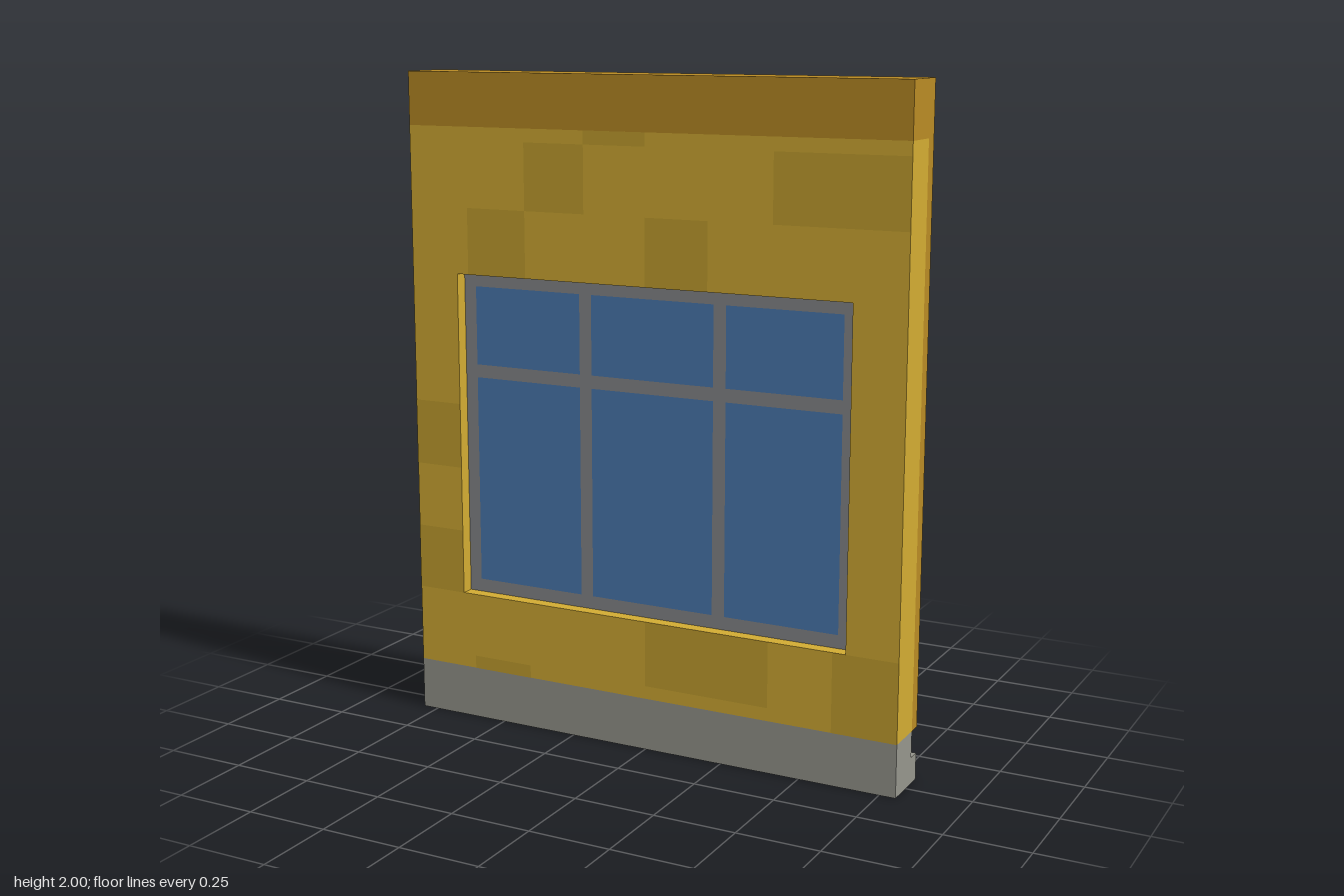
import * as THREE from 'three';

const mat = (color) => new THREE.MeshStandardMaterial({ color });
const OCHRE = mat(0xd2ab33), PATCH = mat(0xc49f2f), BROWN = mat(0xb88a24);
const STONE = mat(0x95958c), FRAME = mat(0x85878a), GLASS = mat(0x4a79b0);

export function createModel() {
  const model = new THREE.Group();

  // Box given by its minimum and maximum corners
  const box = (name, material, [x0, y0, z0], [x1, y1, z1], parent = model) => {
    const mesh = new THREE.Mesh(new THREE.BoxGeometry(x1 - x0, y1 - y0, z1 - z0), material);
    mesh.position.set((x0 + x1) / 2, (y0 + y1) / 2, (z0 + z1) / 2);
    mesh.name = name;
    parent.add(mesh);
    return mesh;
  };
  const rect = (PathType, x, y0, y1) => new PathType(
    [[-x, y0], [x, y0], [x, y1], [-x, y1]].map(([a, b]) => new THREE.Vector2(a, b)));

  // Plastered wall with the window opening
  const wallShape = rect(THREE.Shape, 0.8, 0.16, 1.84);
  wallShape.holes.push(rect(THREE.Path, 0.64, 0.4, 1.4));
  const wall = new THREE.Mesh(
    new THREE.ExtrudeGeometry(wallShape, { depth: 0.12, bevelEnabled: false }), OCHRE);
  wall.position.z = -0.04;
  wall.name = 'wall';
  model.add(wall);

  // Slightly darker plaster patches on both faces: x0, y0, x1, y1
  const patches = [
    [-0.4, 1.6, -0.2, 1.8], [0.4, 1.6, 0.8, 1.8], [-0.6, 1.4, -0.4, 1.6], [0, 1.4, 0.2, 1.6],
    [-0.2, 1.8, 0, 1.84], [-0.8, 0.4, -0.64, 0.6], [-0.8, 0.8, -0.64, 1.0],
    [-0.6, 0.16, -0.4, 0.2], [0, 0.2, 0.4, 0.4], [0.6, 0.16, 0.8, 0.4],
  ];
  const plaster = new THREE.Group();
  plaster.name = 'plasterPatches';
  model.add(plaster);
  for (const [x0, y0, x1, y1] of patches) {
    for (const side of [1, -1]) {
      const patch = new THREE.Mesh(new THREE.PlaneGeometry(x1 - x0, y1 - y0), PATCH);
      patch.position.set((x0 + x1) / 2, (y0 + y1) / 2, side > 0 ? 0.081 : -0.041);
      if (side < 0) patch.rotation.y = Math.PI;
      patch.name = 'plasterPatch';
      plaster.add(patch);
    }
  }

  // Stone base with its rear ledge, and the top band with its rear beam
  box('base', STONE, [-0.8, 0, -0.04], [0.8, 0.16, 0.08]);
  box('baseLedge', STONE, [-0.8, 0, -0.08], [0.8, 0.08, -0.04]);
  box('topBand', BROWN, [-0.8, 1.84, -0.04], [0.8, 2, 0.08]);
  box('rearBeam', BROWN, [-0.8, 1.92, -0.08], [0.8, 2, -0.04]);

  // Rear corner posts
  box('leftRearPost', BROWN, [0.76, 0.16, -0.08], [0.8, 1.92, -0.04]);
  box('rightRearPost', BROWN, [-0.8, 0.16, -0.08], [-0.76, 1.92, -0.04]);

  // Rear window sill
  box('windowSill', STONE, [-0.68, 0.36, -0.08], [0.68, 0.4, -0.04]);

  // Window: frame, mullions and transom with flush panes in a recess
  const win = new THREE.Group();
  win.name = 'window';
  model.add(win);
  const columns = [[-0.6, -0.24], [-0.2, 0.2], [0.24, 0.6]];
  const rows = [[0.44, 1.08], [1.12, 1.36]];
  const frameShape = rect(THREE.Shape, 0.64, 0.4, 1.4);
  for (const [x0, x1] of columns) {
    for (const [y0, y1] of rows) {
      frameShape.holes.push(new THREE.Path([
        new THREE.Vector2(x0, y0), new THREE.Vector2(x1, y0),
        new THREE.Vector2(x1, y1), new THREE.Vector2(x0, y1)]));
      box('pane', GLASS, [x0, y0, 0], [x1, y1, 0.04], win);
    }
  }
  const frame = new THREE.Mesh(
    new THREE.ExtrudeGeometry(frameShape, { depth: 0.04, bevelEnabled: false }), FRAME);
  frame.name = 'windowFrame';
  win.add(frame);

  return model;
}
